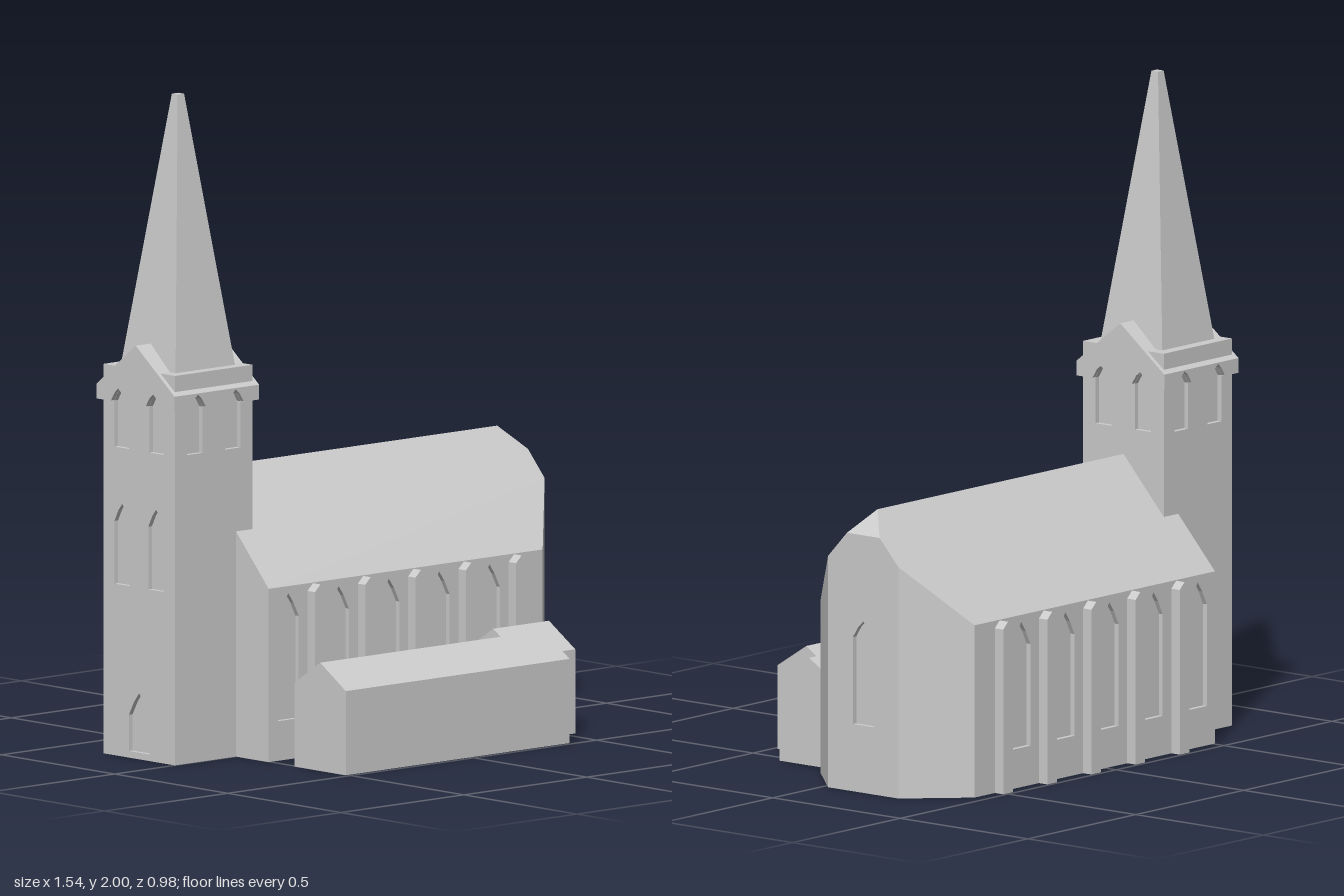
import * as THREE from 'three';
import { ConvexGeometry } from 'three/addons/geometries/ConvexGeometry.js';

export function createModel() {
  const model = new THREE.Group();
  model.name = 'church';
  const stone = new THREE.MeshStandardMaterial({ color: 0xcccccc });
  stone.name = 'grey stone';

  const add = (name, geometry, x = 0, y = 0, z = 0) => {
    const mesh = new THREE.Mesh(geometry, stone);
    mesh.name = name;
    mesh.position.set(x, y, z);
    model.add(mesh);
    return mesh;
  };
  const hull = (name, points, x, y, z) =>
    add(name, new ConvexGeometry(points.map(p => new THREE.Vector3(...p))), x, y, z);
  const shapeOf = pts => new THREE.Shape(pts.map(p => new THREE.Vector2(...p)));
  const extrude = (shape, depth) => new THREE.ExtrudeGeometry(shape, { depth, bevelEnabled: false });
  // both signs of z for every point
  const mirrorZ = pts => pts.flatMap(([x, y, z]) => [[x, y, z], [x, y, -z]]);

  // pointed opening, listed from bottom left up and over to bottom right
  const arch = (x, y0, halfW, spring, apex) => [
    [x - halfW, y0], [x - halfW, spring], [x - halfW * 0.5, (spring + apex) / 2 + 0.006],
    [x, apex], [x + halfW * 0.5, (spring + apex) / 2 + 0.006], [x + halfW, spring], [x + halfW, y0],
  ];
  // upright slab with openings, its outer face `dist` from the centre, turned by `angle`
  const panel = (name, outline, holes, angle, cx, cz, dist, depth) => {
    const shape = shapeOf(outline);
    holes.forEach(h => shape.holes.push(new THREE.Path(h.map(p => new THREE.Vector2(...p)))));
    const r = dist - depth;
    add(name, extrude(shape, depth), cx + Math.sin(angle) * r, 0, cz + Math.cos(angle) * r).rotation.y = angle;
  };
  const rect = (x0, x1, y0, y1) => [[x0, y0], [x1, y0], [x1, y1], [x0, y1]];

  // ---- nave ----
  const cz = -0.157, west = -0.507, shoulder = 0.607, east = 0.766;
  const half = 0.302, endHalf = 0.138, eave = 0.525, ridge = 0.855, d = 0.015;

  // core behind the window panels, with the splayed east corners
  const plan = [[west, half - d], [shoulder, half - d], [shoulder, half], [east, endHalf], [east - d, endHalf]];
  const mirrored = plan.map(([x, z]) => [x, -z]).reverse();
  const core = extrude(shapeOf([...plan, ...mirrored]), eave);
  core.rotateX(-Math.PI / 2);
  add('naveCore', core, 0, 0, cz);

  // roof with clipped east gable
  hull('naveRoof', mirrorZ([
    [west, eave, half], [shoulder, eave, half], [east, eave, endHalf],
    [east, 0.705, endHalf], [east, 0.785, 0.064],
  ]).concat([[west, ridge, 0], [0.70, ridge, 0]]), 0, 0, cz);

  const bay = 0.2045;
  for (const s of [1, -1]) {
    const holes = [];
    for (let i = 0; i < 5; i++) {
      holes.push(arch(s * (-0.427 + i * bay), 0.12, 0.042, 0.43, 0.503));
      // gabled buttress between the windows
      const b = extrude(shapeOf([[-0.022, 0], [0.022, 0], [0.022, 0.502], [0, 0.523], [-0.022, 0.502]]), 0.05);
      add('buttress', b, -0.327 + i * bay, 0, cz + s * 0.31 - 0.025);
    }
    const [x0, x1] = s > 0 ? [west, shoulder] : [-shoulder, -west];
    panel('naveWall', rect(x0, x1, 0, eave), holes, s > 0 ? 0 : Math.PI, 0, cz, half, d);
  }
  panel('eastWall', rect(-endHalf, endHalf, 0, eave),
    [arch(0, 0.205, 0.04, 0.47, 0.522)], Math.PI / 2, 0, cz, east, d);

  // ---- tower ----
  const tx = -0.598, th = 0.158, bandHalf = 0.172;
  const coreSide = 2 * (th - d);
  add('towerCore', new THREE.BoxGeometry(coreSide, 1.18, coreSide), tx, 0.59, cz);
  const belfry = [-0.077, 0.077].map(x => arch(x, 0.935, 0.032, 1.075, 1.116));
  const westOpenings = [
    ...[-0.075, 0.075].map(x => arch(x, 0.52, 0.034, 0.71, 0.765)),
    arch(0, 0.02, 0.045, 0.13, 0.2),
  ];
  // cornice notched around the belfry openings
  const cornice = [
    [-bandHalf, 1.12], [-bandHalf, 1.075],
    ...[-0.077, 0.077].flatMap(x => arch(x, 1.075, 0.032, 1.0765, 1.116)),
    [bandHalf, 1.075], [bandHalf, 1.12],
  ];
  for (let i = 0; i < 4; i++) {
    const angle = i * Math.PI / 2;
    const holes = i === 3 ? [...belfry, ...westOpenings] : belfry;
    panel('towerWall', rect(-th, th, 0, 1.18), holes, angle, tx, cz, th, d);
    panel('cornice', cornice, [], angle, tx, cz, bandHalf, bandHalf - th);
  }
  // gabled cap and spire
  hull('towerGable', mirrorZ([[-bandHalf, 1.12, bandHalf], [bandHalf, 1.12, bandHalf]])
    .concat([[-bandHalf, 1.255, 0], [bandHalf, 1.255, 0]]), tx, 0, cz);
  const spire = new THREE.CylinderGeometry(0.013 * Math.SQRT2, 0.122 * Math.SQRT2, 0.83, 4, 1).toNonIndexed();
  spire.rotateY(Math.PI / 4);
  spire.computeVertexNormals();
  add('spire', spire, tx, 1.585, cz);

  // ---- low annexes with ridges along x ----
  const annex = (name, x0, x1, z0, z1) => {
    const w = (z1 - z0) / 2;
    const g = extrude(shapeOf([[-w, 0], [w, 0], [w, 0.255], [0, 0.328], [-w, 0.255]]), x1 - x0);
    g.rotateY(Math.PI / 2);
    add(name, g, x0, 0, (z0 + z1) / 2);
  };
  annex('sideHall', west, 0.403, 0.26, 0.486);
  annex('linkBuilding', 0.313, 0.54, 0.13, 0.362);

  return model;
}
